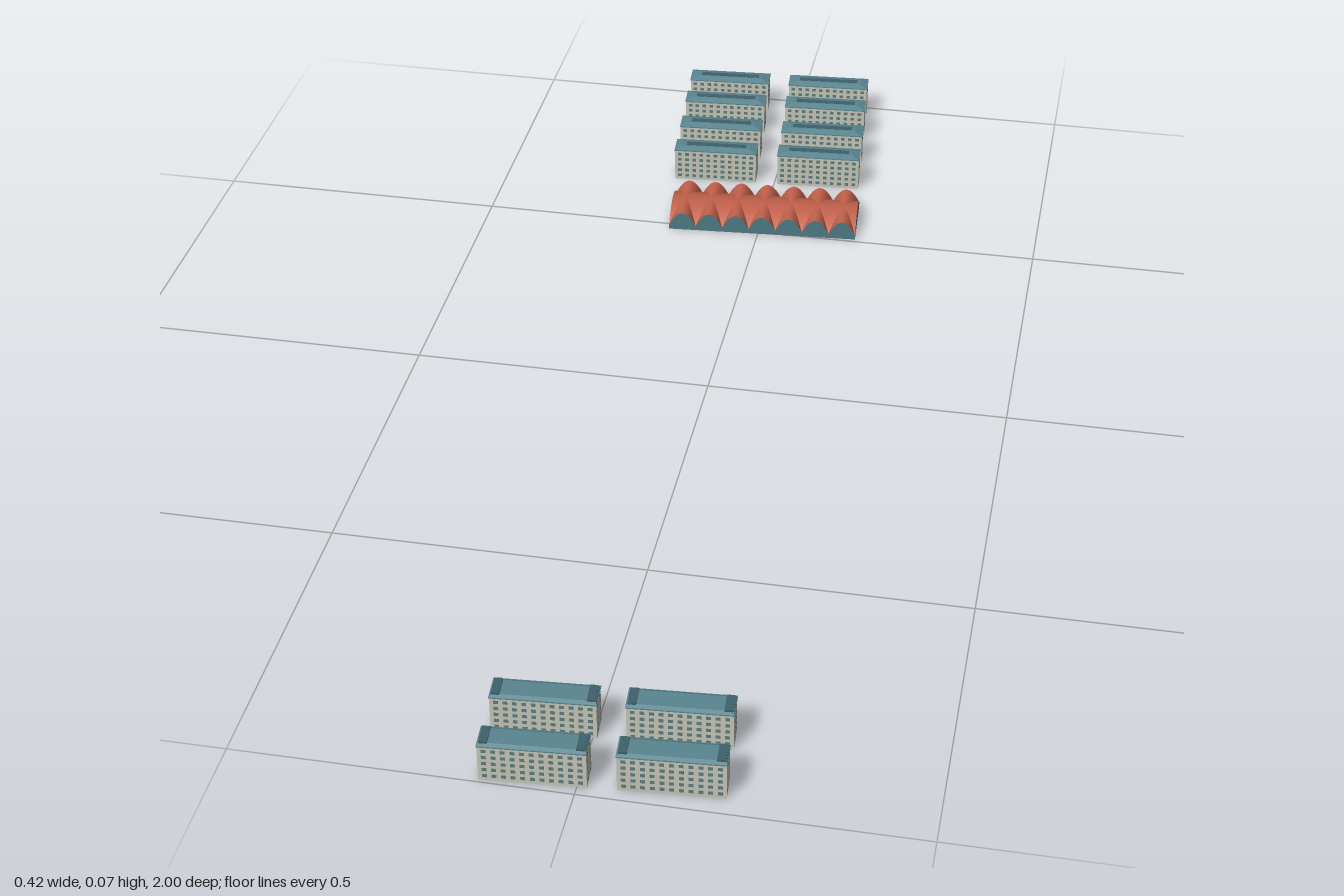
import * as THREE from 'three';
import { mergeGeometries } from 'three/addons/utils/BufferGeometryUtils.js';

const TILT = 0.072;              // all buildings share the same heading
const L = 0.152, D = 0.041, H = 0.06;

const mat = (color, extra = {}) => new THREE.MeshStandardMaterial({ color, ...extra });
const wallMat = mat(0xc9c7ba);
const glassMat = mat(0x5f7f80);
const roofMat = mat(0x5a8590);
const darkRoofMat = mat(0x3f606b);
const tileMat = mat(0xc0604a, { side: THREE.DoubleSide, flatShading: true });
const tealMat = mat(0x4f7c86, { side: THREE.DoubleSide });

function add(group, name, geometry, material) {
  const mesh = new THREE.Mesh(geometry, material);
  mesh.name = name;
  group.add(mesh);
  return mesh;
}

const box = (w, h, d, x, y, z) => new THREE.BoxGeometry(w, h, d).translate(x, y, z);

// Box whose top is inset to form a low hipped roof
function hip(w, h, d, insetX, insetZ) {
  const g = new THREE.BoxGeometry(w, h, d).toNonIndexed();
  const p = g.attributes.position;
  for (let i = 0; i < p.count; i++) {
    if (p.getY(i) > 0) {
      p.setX(i, p.getX(i) - Math.sign(p.getX(i)) * insetX);
      p.setZ(i, p.getZ(i) - Math.sign(p.getZ(i)) * insetZ);
    }
  }
  g.computeVertexNormals();
  return g;
}

// Five floors of windows on all four sides
function windowGeometry() {
  const parts = [];
  const rows = 5, cols = 11;
  for (let r = 0; r < rows; r++) {
    const y = 0.008 + r * 0.0112;
    for (const s of [-1, 1]) {
      for (let c = 0; c < cols; c++) {
        parts.push(box(0.0068, 0.0056, 0.0008, (c - (cols - 1) / 2) * 0.0134, y, s * D / 2));
      }
      for (const z of [-0.01, 0.01]) parts.push(box(0.0008, 0.0056, 0.005, s * L / 2, y, z));
    }
  }
  return mergeGeometries(parts);
}

const wallGeo = box(L, H, D, 0, H / 2, 0);
const windowGeo = windowGeometry();
const eavesGeo = box(L + 0.002, 0.0015, D + 0.002, 0, H + 0.0005, 0);
const hipGeo = hip(L + 0.001, 0.004, D + 0.001, 0.014, 0.012).translate(0, H + 0.003, 0);
const ridgeGeo = box(L - 0.04, 0.001, 0.011, 0, H + 0.0053, 0);
const flatRoofGeo = hip(L + 0.001, 0.003, D + 0.001, 0.002, 0.006).translate(0, H + 0.0025, 0);
const headGeo = mergeGeometries([-1, 1].map(s => box(0.012, 0.006, D * 0.8, s * (L / 2 - 0.008), H + 0.0035, 0)));

function apartmentBlock(x, z, hipped) {
  const g = new THREE.Group();
  g.name = 'apartmentBlock';
  add(g, 'walls', wallGeo, wallMat);
  add(g, 'windows', windowGeo, glassMat);
  add(g, 'eaves', eavesGeo, roofMat);
  if (hipped) {
    add(g, 'hippedRoof', hipGeo, roofMat);
    add(g, 'roofRidge', ridgeGeo, darkRoofMat);
  } else {
    add(g, 'flatRoof', flatRoofGeo, roofMat);
    add(g, 'stairHeads', headGeo, darkRoofMat);
  }
  g.position.set(x, 0, z);
  g.rotation.y = TILT;
  return g;
}

// Long hall of seven bays: small arches on the long sides, one big arch at each end
function vaultedHall() {
  const g = new THREE.Group();
  g.name = 'vaultedHall';
  const W = 0.34, depth = 0.118, bays = 7, spring = 0.008, rise = 0.026, N = 8;
  const bay = W / bays;
  const height = (u, v) => spring + rise * (1 - Math.min(Math.abs(u), Math.abs(v)) ** 2);

  // Crossed vaults, each cell split along the groin
  const pos = [];
  for (let b = 0; b < bays; b++) {
    const cx = -W / 2 + (b + 0.5) * bay;
    const put = (i, j) => pos.push(cx + i / N * bay / 2, height(i / N, j / N), j / N * depth / 2);
    for (let i = -N; i < N; i++) {
      for (let j = -N; j < N; j++) {
        const a = [i, j], e = [i, j + 1], c = [i + 1, j + 1], d = [i + 1, j];
        const order = (i < 0) === (j < 0) ? [a, e, c, a, c, d] : [a, e, d, e, c, d];
        order.forEach(q => put(...q));
      }
    }
  }
  const roof = new THREE.BufferGeometry();
  roof.setAttribute('position', new THREE.Float32BufferAttribute(pos, 3));
  roof.computeVertexNormals();
  add(g, 'vaultedRoof', roof, tileMat);

  // Walls filling the arches
  const archWall = (span, count) => {
    const s = new THREE.Shape();
    s.moveTo(-span / 2, 0);
    for (let k = 0; k <= count * 2 * N; k++) {
      const u = (k % (2 * N)) / N - 1;
      s.lineTo(-span / 2 + k * span / (count * 2 * N), height(u, 1));
    }
    s.lineTo(span / 2, 0);
    return new THREE.ShapeGeometry(s);
  };
  const side = archWall(W, bays), end = archWall(depth, 1);
  for (const s of [-1, 1]) {
    const turn = s > 0 ? 0 : Math.PI;
    const wall = add(g, 'sideWall', side, tealMat);
    wall.position.z = s * depth / 2;
    wall.rotation.y = turn;
    const gable = add(g, 'endWall', end, tealMat);
    gable.position.x = s * W / 2;
    gable.rotation.y = turn + Math.PI / 2;
  }
  add(g, 'floor', box(W, 0.001, depth, 0, 0.0005, 0), tealMat);
  g.position.set(0.003, 0, -0.554);
  g.rotation.y = TILT;
  return g;
}

export function createModel() {
  const model = new THREE.Group();
  model.name = 'housingEstate';

  // Four rows of paired blocks behind the hall
  const backRows = [[-0.135, -0.965], [-0.128, -0.878], [-0.119, -0.779], [-0.112, -0.689]];
  for (const [x, z] of backRows) {
    model.add(apartmentBlock(x, z, true), apartmentBlock(x + 0.192, z - 0.0135, true));
  }
  // Two rows of paired blocks at the far front
  for (const [x, z] of [[-0.071, 0.868], [-0.063, 0.969]]) {
    model.add(apartmentBlock(x, z, false), apartmentBlock(x + 0.193, z - 0.0145, false));
  }
  model.add(vaultedHall());
  return model;
}
